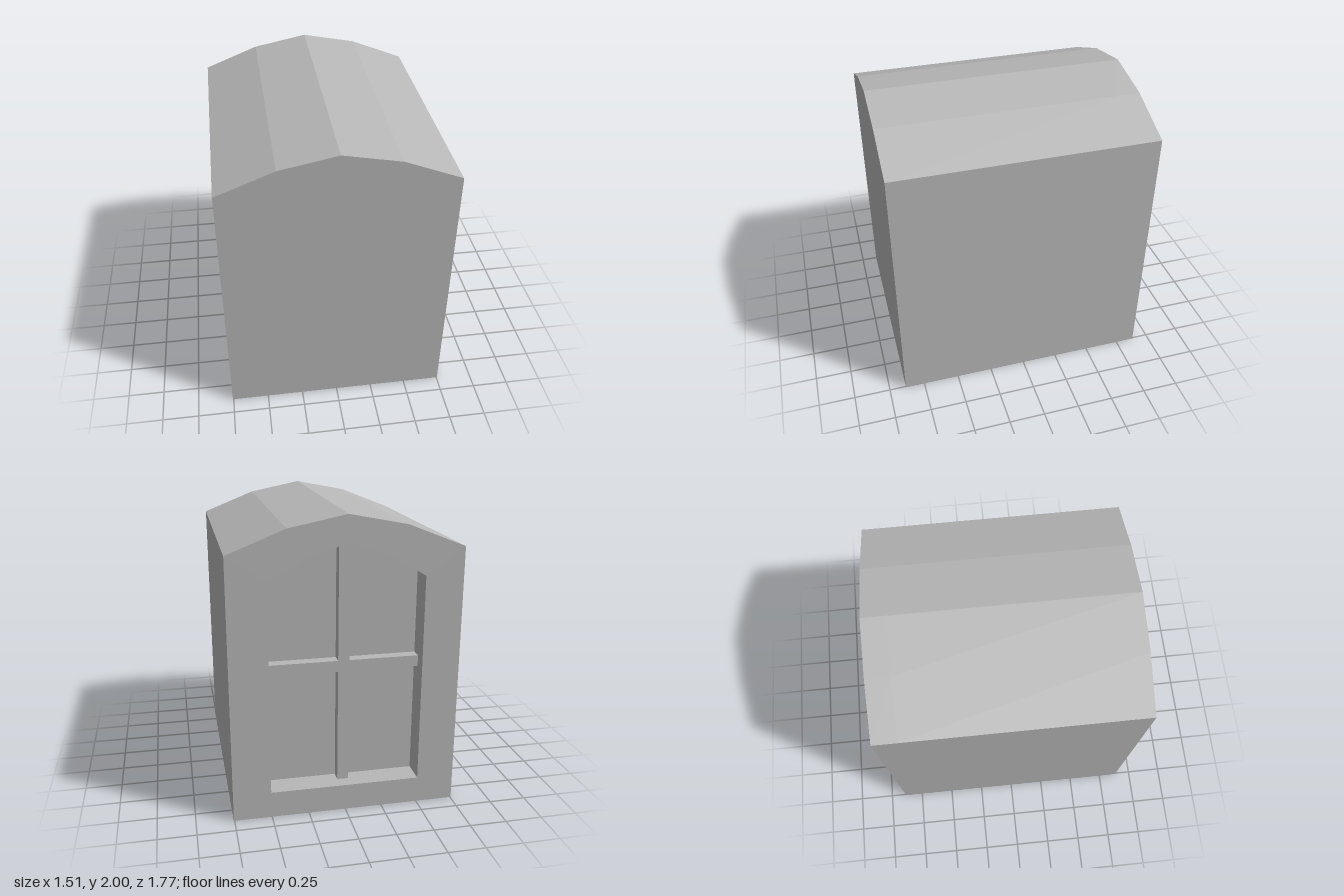
import * as THREE from 'three';

const BACK = -0.885, FRONT = 0.885; // overall z extent
const RECESS = 0.165;               // depth of the window opening
const BAR = 0.075;                  // thickness of the window bars

// Outline with straight sides and a four-segment arch on top
function archPoints(halfWidth, bottom, spring, shoulder, peak) {
  return [
    [-halfWidth, bottom], [halfWidth, bottom], [halfWidth, spring],
    [halfWidth / 2, shoulder], [0, peak], [-halfWidth / 2, shoulder], [-halfWidth, spring],
  ].map(([x, y]) => new THREE.Vector2(x, y));
}

function extrude(shape, zStart, zEnd) {
  const geometry = new THREE.ExtrudeGeometry(shape, { depth: zEnd - zStart, bevelEnabled: false });
  return geometry.translate(0, 0, zStart);
}

export function createModel() {
  const group = new THREE.Group();
  const stone = new THREE.MeshStandardMaterial({ color: 0xb8b8b8 });
  stone.name = 'grey';

  const add = (name, geometry) => {
    const mesh = new THREE.Mesh(geometry, stone);
    mesh.name = name;
    group.add(mesh);
  };

  const outer = archPoints(0.755, 0, 1.775, 1.925, 2);
  const opening = archPoints(0.503, 0.18, 1.597, 1.747, 1.823);

  // Solid block behind the window
  add('body', extrude(new THREE.Shape(outer), BACK + RECESS, FRONT));

  // Arched surround with the window opening cut through it
  const surround = new THREE.Shape(outer);
  surround.holes.push(new THREE.Path(opening));
  add('windowSurround', extrude(surround, BACK, BACK + RECESS));

  // Crossed window bars, set back inside the opening
  const barZ = BACK + RECESS - BAR / 2;
  const upright = new THREE.BoxGeometry(BAR, 1.64, BAR);
  add('verticalBar', upright.translate(0, 1.0, barZ));
  const crossbar = new THREE.BoxGeometry(1.006, BAR, BAR);
  add('horizontalBar', crossbar.translate(0, 1.0, barZ));

  return group;
}
